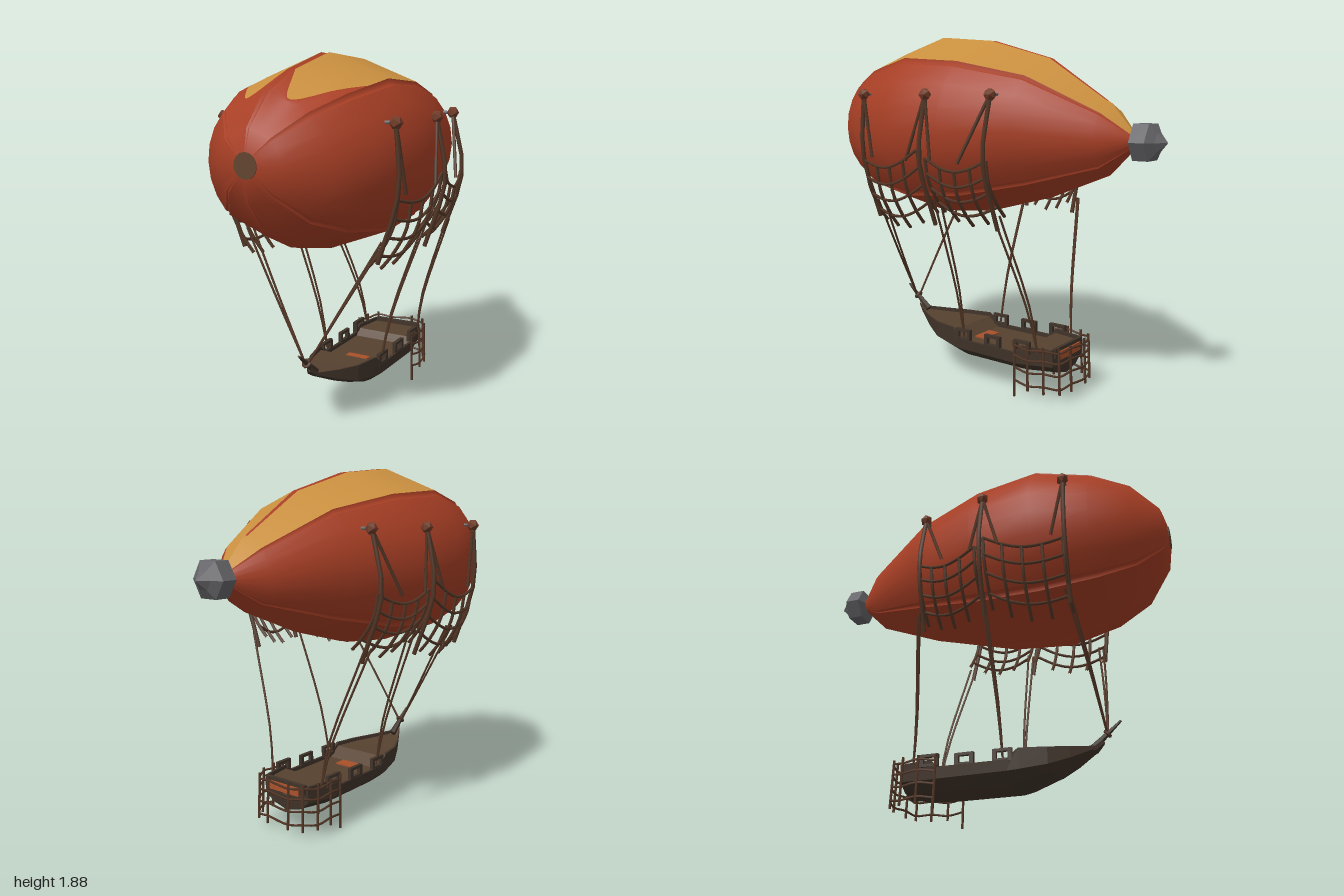
import * as THREE from 'three';

const mat = (name, color, side = THREE.FrontSide) => {
  const m = new THREE.MeshStandardMaterial({ color, side });
  m.name = name;
  return m;
};

export function createModel() {
  const red = mat('red canvas', 0xa83f25, THREE.DoubleSide);
  const tan = mat('tan canvas', 0xc98f3f, THREE.DoubleSide);
  const nose = mat('nose patch', 0x62452f);
  const metal = mat('grey metal', 0x66666a);
  const knobMat = mat('knob wood', 0x713c28);
  const ropeMat = mat('rope', 0x533626);
  const hullMat = mat('dark hull wood', 0x41342a, THREE.DoubleSide);
  const deckMat = mat('deck wood', 0x56412f, THREE.DoubleSide);
  const trim = mat('orange trim', 0xa9512b);
  [metal, knobMat, hullMat, deckMat].forEach((m) => { m.flatShading = true; });

  const model = new THREE.Group();
  const add = (name, geo, material, parent = model) => {
    const mesh = new THREE.Mesh(geo, material);
    mesh.name = name;
    parent.add(mesh);
    return mesh;
  };
  const group = (name) => {
    const g = new THREE.Group();
    g.name = name;
    model.add(g);
    return g;
  };

  // Skin over rows of points
  function loft(rows) {
    const n = rows[0].length, index = [];
    for (let j = 0; j < rows.length - 1; j++) for (let i = 0; i < n - 1; i++) {
      const a = j * n + i, b = a + n;
      index.push(a, a + 1, b, a + 1, b + 1, b);
    }
    const g = new THREE.BufferGeometry();
    g.setAttribute('position', new THREE.Float32BufferAttribute(rows.flat(2), 3));
    g.setIndex(index);
    g.computeVertexNormals();
    return g;
  }
  const rope = (name, pts, r, parent) => add(name, new THREE.TubeGeometry(
    new THREE.CatmullRomCurve3(pts.map((p) => new THREE.Vector3(...p)), false, 'centripetal'),
    (pts.length - 1) * 3, r, 5), ropeMat, parent);

  // Envelope rings: z, half width, centre height, half height
  const rings = [
    [0.995, 0.06, 1.41, 0.06], [0.97, 0.17, 1.405, 0.165], [0.84, 0.33, 1.393, 0.322],
    [0.65, 0.44, 1.395, 0.415], [0.36, 0.515, 1.405, 0.485], [0.02, 0.48, 1.405, 0.455],
    [-0.35, 0.36, 1.405, 0.355], [-0.7, 0.17, 1.365, 0.175], [-0.83, 0.04, 1.36, 0.04]];
  const centreX = (z) => -0.035 + (0.995 - z) * 0.036;
  function skin(a, z, k) {
    let i = 0;
    while (i < rings.length - 2 && z < rings[i + 1][0]) i++;
    const [p, q] = [rings[i], rings[i + 1]];
    const t = (p[0] - z) / (p[0] - q[0]);
    const [rx, cy, ry] = [1, 2, 3].map((c) => p[c] + (q[c] - p[c]) * t);
    return [centreX(z) + Math.sin(a) * rx * k, cy + Math.cos(a) * ry * k, z];
  }
  // Patch between two angles; zMap limits how far along the body it runs
  const patch = (a0, a1, steps, scale, zMap) => loft(rings.map(([z]) =>
    Array.from({ length: steps + 1 }, (_, i) => {
      const u = i / steps, a = a0 + (a1 - a0) * u;
      return skin(a, zMap(z, u), scale(a, u));
    })));
  const whole = (z) => z;
  const envelope = group('envelope');
  const deg = Math.PI / 180;
  const seams = [0, 44, 136, 180, 224, 316, 360];
  for (let i = 0; i < 6; i++) {
    const a0 = (seams[i] + 2.5) * deg, a1 = (seams[i + 1] - 2.5) * deg, mid = (a0 + a1) / 2;
    const isSide = i === 1 || i === 4;
    const scale = (a) => isSide ? 1 : Math.cos((a1 - a0) / 2) / Math.cos(a - mid);
    if (i === 0 || i === 5) {
      const edge = (u) => {
        const v = i ? 1 - u : u;
        return 0.64 - 0.14 * v + 0.25 * Math.sin(Math.PI * v);
      };
      add('topPanelFront', patch(a0, a1, 10, scale, (z, u) => Math.max(z, edge(u))), red, envelope);
      add('topPanel', patch(a0, a1, 10, scale, (z, u) => Math.min(z, edge(u))), tan, envelope);
    } else {
      add('panel', patch(a0, a1, isSide ? 6 : 3, scale, whole), red, envelope);
    }
    // Sunken seam between panels
    const groove = (a, u) => u === 0.5 ? 0.965 : 1;
    const s0 = (seams[i] - 2.5) * deg, s1 = (seams[i] + 2.5) * deg;
    add('seam', patch(s0, s1, 2, groove, i ? whole : (z) => Math.max(z, -0.68)), red, envelope);
    if (i === 0) add('seamEnd', patch(s0, s1, 2, groove, (z) => Math.min(z, -0.68)), tan, envelope);
  }
  add('noseCap', new THREE.CylinderGeometry(0.06, 0.06, 0.008, 14).rotateX(Math.PI / 2), nose, envelope)
    .position.set(-0.035, 1.41, 0.994);

  // Hexagonal tail cap
  const tailProfile = [[0.04, 0], [0.1, 0.025], [0.1, 0.105], [0.05, 0.135], [0, 0.18]]
    .map(([r, y]) => new THREE.Vector2(r, y));
  add('tailCap', new THREE.LatheGeometry(tailProfile, 6, Math.PI / 2).rotateX(-Math.PI / 2), metal)
    .position.set(0.03, 1.36, -0.82);

  // Knobs, side nets and suspension ropes
  const netX = (z, t) => 0.515 - 0.3 * (z - 0.2) ** 2 - 0.1 * t * t;
  for (const s of [1, -1]) {
    const rig = group(s > 0 ? 'leftRigging' : 'rightRigging');
    const at = (x, y, z) => [centreX(z) + s * x, y, z];
    const knobs = [[0.475, 0.54, [0.47]], [0.47, 0.1, [0.2, 0.04]], [0.4, -0.26, [-0.12]]];
    for (const [x, z, spread] of knobs) {
      add('knob', new THREE.IcosahedronGeometry(0.033, 0), knobMat, rig).position.set(...at(x, 1.58, z));
      add('pin', new THREE.CylinderGeometry(0.009, 0.009, 0.09, 6).rotateZ(Math.PI / 2), metal, rig)
        .position.set(...at(x - 0.04, 1.58, z));
      rope('post', [at(x, 1.58, z), at(netX(z, 0) + 0.01, 1.27, z), at(netX(z, 1), 0.92, z - 0.01)], 0.012, rig);
      for (const zs of spread) rope('brace', [at(x, 1.58, z), at(netX(zs, 0), 1.25, zs)], 0.009, rig);
    }
    // Two net panels with sagging cross ropes
    for (const [z0, z1, topA, topB, drop] of [[0.53, 0.12, 1.23, 1.31, 0.27], [0.07, -0.27, 1.27, 1.27, 0.23]]) {
      const point = (u, t) => {
        const z = z0 + (z1 - z0) * u;
        const y = topA + (topB - topA) * u - 0.06 * Math.sin(Math.PI * u) - drop * t;
        return at(netX(z, t), y, z);
      };
      for (let i = 0; i < 4; i++) {
        rope('netRow', [0, 0.25, 0.5, 0.75, 1].map((u) => point(u, i / 3)), 0.008, rig);
      }
      for (let i = 0; i < 5; i++) {
        rope('netDrop', [0, 0.5, 1, 1.25].map((t) => point(i / 4, t)), 0.009, rig);
      }
    }
    // Paired ropes down to the boat
    const lines = [
      [[0.39, 1.02, 0.52], [0.2, 0.7, 0.56], [0.01, 0.38, 0.59]],
      [[0.42, 1.05, 0.09], [0.23, 0.52, 0.1], [0.17, 0.26, 0.1]],
      [[0.4, 1.0, -0.27], [0.21, 0.48, -0.35], [0.17, 0.27, -0.38]]];
    for (const line of lines) for (const o of [0, 0.022]) {
      rope('hangRope', line.map(([x, y, z], i) => [s * (x - o * (1 - i / 2)), y, z - o * (1 - i / 2)]), 0.006, rig);
    }
  }

  // Boat stations: z, half width, rail, chine, keel
  const boat = group('boat');
  const stations = [
    [0.57, 0.012, 0.35, 0.34, 0.325], [0.53, 0.035, 0.315, 0.3, 0.29], [0.42, 0.1, 0.305, 0.25, 0.235],
    [0.32, 0.15, 0.3, 0.215, 0.185], [0.18, 0.18, 0.3, 0.195, 0.125], [0.12, 0.187, 0.245, 0.19, 0.11],
    [-0.25, 0.187, 0.245, 0.185, 0.11], [-0.28, 0.183, 0.285, 0.185, 0.11], [-0.46, 0.15, 0.285, 0.195, 0.13]];
  const hullRows = stations.map(([z, w, top, chine, keel]) => {
    const half = [[0.92 * w, top - 0.02], [0.92 * w, top], [w, top], [w * 0.97, chine], [0.6 * w, keel + (chine - keel) * 0.35]];
    return [...half, [0, keel], ...half.slice().reverse().map(([x, y]) => [-x, y])].map(([x, y]) => [x, y, z]);
  });
  const deckRows = stations.map(([z, w, top]) => [[-0.92 * w, top - 0.02, z], [0.92 * w, top - 0.02, z]]);
  for (const rows of [hullRows, deckRows]) rows.push(rows[0].map(() => [0, 0.21, -0.47]));
  add('hull', loft(hullRows), hullMat, boat);
  add('deck', loft(deckRows), deckMat, boat);
  const box = (name, w, h, d, x, y, z, m) =>
    add(name, new THREE.BoxGeometry(w, h, d), m, boat).position.set(x, y, z);
  box('sternRail', 0.27, 0.05, 0.02, 0, 0.265, -0.46, hullMat);
  box('sternPanel', 0.2, 0.045, 0.008, 0, 0.25, -0.476, trim);
  box('deckHatch', 0.13, 0.008, 0.07, 0, 0.231, 0.07, trim);

  // Square rail frames
  const frame = new THREE.Shape([[-0.05, 0], [0.05, 0], [0.05, 0.065], [-0.05, 0.065]].map((p) => new THREE.Vector2(...p)));
  frame.holes.push(new THREE.Path([[-0.03, 0.015], [-0.03, 0.05], [0.03, 0.05], [0.03, 0.015]].map((p) => new THREE.Vector2(...p))));
  const frameGeo = new THREE.ExtrudeGeometry(frame, { depth: 0.02, bevelEnabled: false })
    .translate(0, 0, -0.01).rotateY(Math.PI / 2);
  for (const s of [1, -1]) for (const [y, z] of [[0.24, 0.1], [0.24, -0.1], [0.25, -0.29]]) {
    add('railFrame', frameGeo, hullMat, boat).position.set(s * 0.175, y, z);
  }

  // Bowsprit with rope binding
  const sprit = add('bowsprit', new THREE.CylinderGeometry(0.006, 0.02, 0.2, 6), hullMat, boat);
  sprit.position.set(0, 0.375, 0.585);
  sprit.rotation.x = 0.86;
  const binding = add('binding', new THREE.TorusGeometry(0.018, 0.009, 5, 8), ropeMat, boat);
  binding.position.set(0, 0.38, 0.59);
  binding.rotation.x = -0.7;

  // Net draped around the stern
  const plan = [[0.19, -0.25], [0.2, -0.34], [0.19, -0.43], [0.15, -0.5], [0.07, -0.52]];
  const drape = [...plan, ...plan.slice().reverse().map(([x, z]) => [-x, z])];
  const flare = (y) => 1 + (0.3 - y) * 0.08;
  const sternNet = group('sternNet');
  [0.29, 0.235, 0.17, 0.1].forEach((y) => rope('netRow', drape.map(([x, z], i) =>
    [x * flare(y), y - (i % 2) * 0.012, z * flare(y)]), 0.006, sternNet));
  drape.forEach(([x, z], i) => rope('netDrop', [0.31, 0.17, 0.06 - (i % 9 ? 0 : 0.05)].map((y) =>
    [x * flare(y), y, z * flare(y)]), 0.007, sternNet));

  return model;
}
